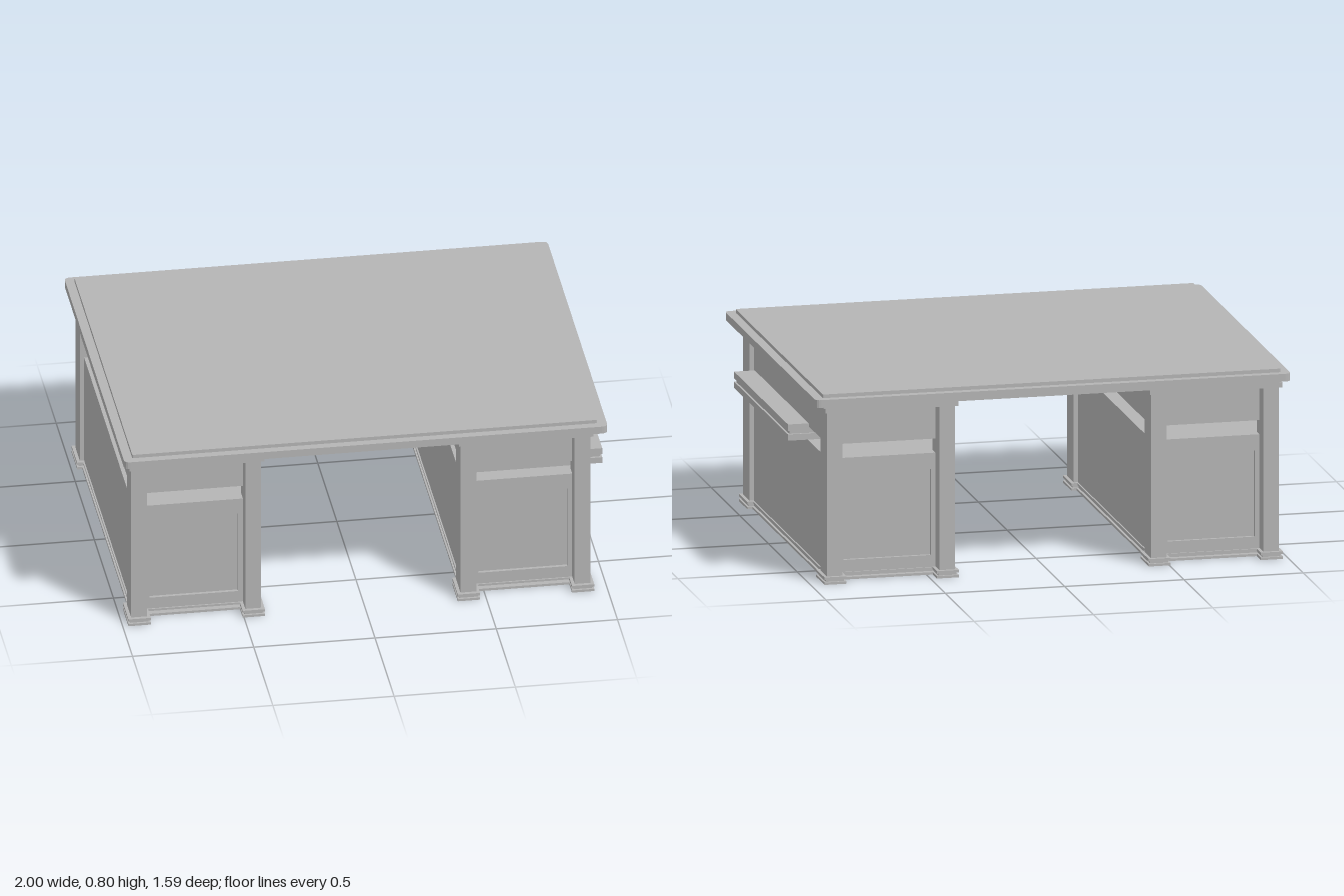
import * as THREE from 'three';

const wood = new THREE.MeshStandardMaterial({ color: 0xb4b4b4 });
wood.name = 'plain grey';

// Box given by its limits on each axis
function block(parent, name, x0, x1, y0, y1, z0, z1) {
  const mesh = new THREE.Mesh(new THREE.BoxGeometry(x1 - x0, y1 - y0, z1 - z0), wood);
  mesh.position.set((x0 + x1) / 2, (y0 + y1) / 2, (z0 + z1) / 2);
  mesh.name = name;
  parent.add(mesh);
  return mesh;
}

// Horizontal slab with rounded corners
function slab(parent, name, x0, x1, y0, y1, d, r) {
  const s = new THREE.Shape();
  s.moveTo(x0 + r, -d);
  s.lineTo(x1 - r, -d);
  s.quadraticCurveTo(x1, -d, x1, -d + r);
  s.lineTo(x1, d - r);
  s.quadraticCurveTo(x1, d, x1 - r, d);
  s.lineTo(x0 + r, d);
  s.quadraticCurveTo(x0, d, x0, d - r);
  s.lineTo(x0, -d + r);
  s.quadraticCurveTo(x0, -d, x0 + r, -d);
  const geo = new THREE.ExtrudeGeometry(s, { depth: y1 - y0, bevelEnabled: false, curveSegments: 4 });
  geo.rotateX(-Math.PI / 2);
  const mesh = new THREE.Mesh(geo, wood);
  mesh.position.y = y0;
  mesh.name = name;
  parent.add(mesh);
}

function rectPath(p, x0, x1, y0, y1) {
  p.moveTo(x0, y0);
  p.lineTo(x1, y0);
  p.lineTo(x1, y1);
  p.lineTo(x0, y1);
  p.closePath();
  return p;
}

// Door frame around a sunken panel
function doorFrame(halfWidth) {
  const shape = rectPath(new THREE.Shape(), -halfWidth, halfWidth, 0.03, 0.508);
  shape.holes.push(rectPath(new THREE.Path(), -0.183, 0.183, 0.08, 0.44));
  return new THREE.ExtrudeGeometry(shape, { depth: 0.014, bevelEnabled: false });
}

function pedestal(name, cx) {
  const g = new THREE.Group();
  g.name = name;
  g.position.x = cx;
  const w = 0.268, post = 0.065, zEnd = 0.73, zBody = 0.65, side = w - 0.018;

  // Lower cupboard and upper drawer case with an open slot between
  block(g, 'cupboard', -side, side, 0.005, 0.508, -zBody, zBody);
  block(g, 'drawerCase', -side, side, 0.567, 0.725, -zBody - 0.014, zBody + 0.014);

  // Doors on both ends
  for (const turn of [0, Math.PI]) {
    const door = new THREE.Group();
    door.name = 'door';
    door.rotation.y = turn;
    const frame = new THREE.Mesh(doorFrame(side), wood);
    frame.name = 'doorFrame';
    frame.position.z = zBody;
    door.add(frame);
    g.add(door);
  }

  // Skirting between the feet
  block(g, 'lowerSkirting', -side - 0.01, side + 0.01, 0, 0.01, -zBody - 0.024, zBody + 0.024);
  block(g, 'upperSkirting', -side - 0.006, side + 0.006, 0.022, 0.03, -zBody - 0.02, zBody + 0.02);

  // Corner posts with stepped feet
  for (const sx of [-1, 1]) {
    for (const sz of [-1, 1]) {
      const px = sx * (w - post / 2), pz = sz * (zEnd - 0.0575);
      const box = (n, hx, hz, y0, y1) => block(g, n, px - hx, px + hx, y0, y1, pz - hz, pz + hz);
      box('cornerPost', post / 2, 0.0575, 0.005, 0.725);
      box('footPlate', 0.046, 0.073, 0, 0.01);
      box('footNeck', 0.038, 0.063, 0.01, 0.02);
      box('footMoulding', 0.046, 0.073, 0.02, 0.031);
    }
  }

  // Moulding under the table top
  block(g, 'capMoulding', -0.278, 0.278, 0.72, 0.742, -0.75, 0.75);
  return g;
}

export function createModel() {
  const desk = new THREE.Group();
  desk.name = 'desk';

  // Stepped table top
  const top = new THREE.Group();
  top.name = 'tableTop';
  slab(top, 'topUnderlay', -0.965, 0.955, 0.742, 0.757, 0.76, 0.01);
  slab(top, 'topSlab', -1, 0.993, 0.755, 0.787, 0.793, 0.025);
  slab(top, 'topInlay', -0.963, 0.955, 0.785, 0.802, 0.76, 0.006);
  desk.add(top);

  desk.add(pedestal('rightPedestal', -0.695), pedestal('leftPedestal', 0.663));

  // Pull-out shelf in the slot of the left pedestal
  const shelf = new THREE.Group();
  shelf.name = 'pullOutShelf';
  block(shelf, 'shelfBottom', 0.43, 1, 0.512, 0.538, -0.34, 0.6);
  block(shelf, 'shelfCore', 0.44, 0.992, 0.538, 0.552, -0.33, 0.59);
  block(shelf, 'shelfTop', 0.43, 1, 0.552, 0.58, -0.34, 0.6);
  desk.add(shelf);

  return desk;
}
